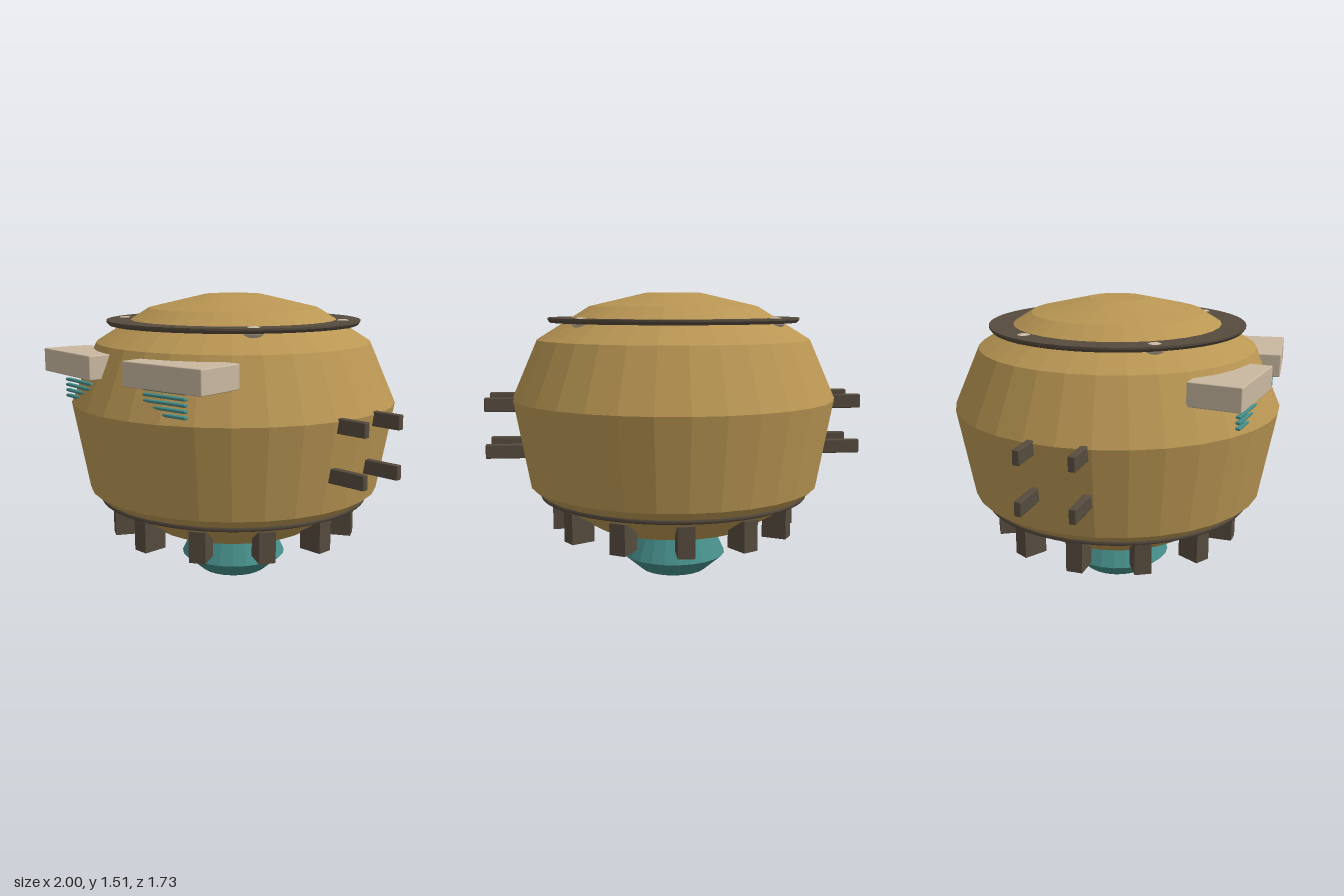
import * as THREE from 'three';
import { RoundedBoxGeometry } from 'three/addons/geometries/RoundedBoxGeometry.js';

const material = (name, color) => {
  const m = new THREE.MeshStandardMaterial({ color });
  m.name = name;
  return m;
};

// Faceted solid of revolution from [radius, height] pairs, bottom to top
function turned(profile, segments) {
  const points = profile.map(([r, y]) => new THREE.Vector2(r, y));
  const g = new THREE.LatheGeometry(points, segments).toNonIndexed();
  g.computeVertexNormals();
  return g;
}

export function createModel() {
  const gold = material('gold', 0xb99653);
  const dark = material('dark brown', 0x564b3e);
  const teal = material('teal', 0x458c88);
  const beige = material('beige', 0xc9b8a0);

  const model = new THREE.Group();
  model.name = 'sphericalRobot';
  const add = (name, geometry, mat, x = 0, y = 0, z = 0, parent = model) => {
    const mesh = new THREE.Mesh(geometry, mat);
    mesh.name = name;
    mesh.position.set(x, y, z);
    parent.add(mesh);
    return mesh;
  };

  // Faceted hull
  add('hull', turned([
    [0, 0.225], [0.2, 0.225], [0.45, 0.275], [0.72, 0.445], [0.78, 0.495],
    [0.865, 0.96], [0.73, 1.27], [0.45, 1.445], [0.15, 1.515], [0, 1.515],
  ], 32), gold);

  // Thruster underneath
  add('thruster', turned([
    [0, 0], [0.18, 0], [0.285, 0.09], [0.215, 0.235], [0, 0.235],
  ], 24), teal);

  // Flat collar with rivets
  add('topCollar', turned([
    [0.53, 1.36], [0.66, 1.36], [0.672, 1.375], [0.672, 1.385], [0.53, 1.385], [0.53, 1.36],
  ], 64), dark);
  const rivet = new THREE.SphereGeometry(0.052, 12, 8).scale(1, 0.55, 1);
  for (const x of [-0.49, 0.49])
    for (const z of [-0.315, 0.35]) add('collarRivet', rivet, beige, x, 1.363, z);

  // Thin band under the hull
  add('lowerBand', new THREE.TorusGeometry(0.712, 0.017, 8, 64).rotateX(Math.PI / 2), dark, 0, 0.442, 0);

  // Ring of twelve blocks
  const block = new THREE.BoxGeometry(0.085, 0.16, 0.13);
  for (let i = 0; i < 12; i++) {
    const a = (i / 12) * Math.PI * 2;
    add('lowerBlock', block, dark, Math.sin(a) * 0.597, 0.32, Math.cos(a) * 0.597).rotation.y = a;
  }

  const peg = new RoundedBoxGeometry(0.28, 0.074, 0.036, 2, 0.006);
  const brow = new RoundedBoxGeometry(0.484, 0.12, 0.265, 2, 0.006);
  const slat = new RoundedBoxGeometry(0.264, 0.016, 0.026, 2, 0.007);
  for (const side of [-1, 1]) {
    // Side pegs
    for (const y of [0.692, 0.938])
      for (const z of [-0.133, 0.133]) add('sidePeg', peg, dark, side * 0.86, y, z);

    // Brow with vent slats below it
    const eye = new THREE.Group();
    eye.name = side > 0 ? 'leftEye' : 'rightEye';
    model.add(eye);
    add('brow', brow, beige, side * 0.355, 1.18, 0.687, eye).rotation.y = side * 0.114;
    for (let i = 0; i < 5; i++)
      add('ventSlat', slat, teal, side * 0.335, 1.003 + i * 0.028, 0.764, eye).rotation.y = side * 0.114;
  }
  return model;
}
